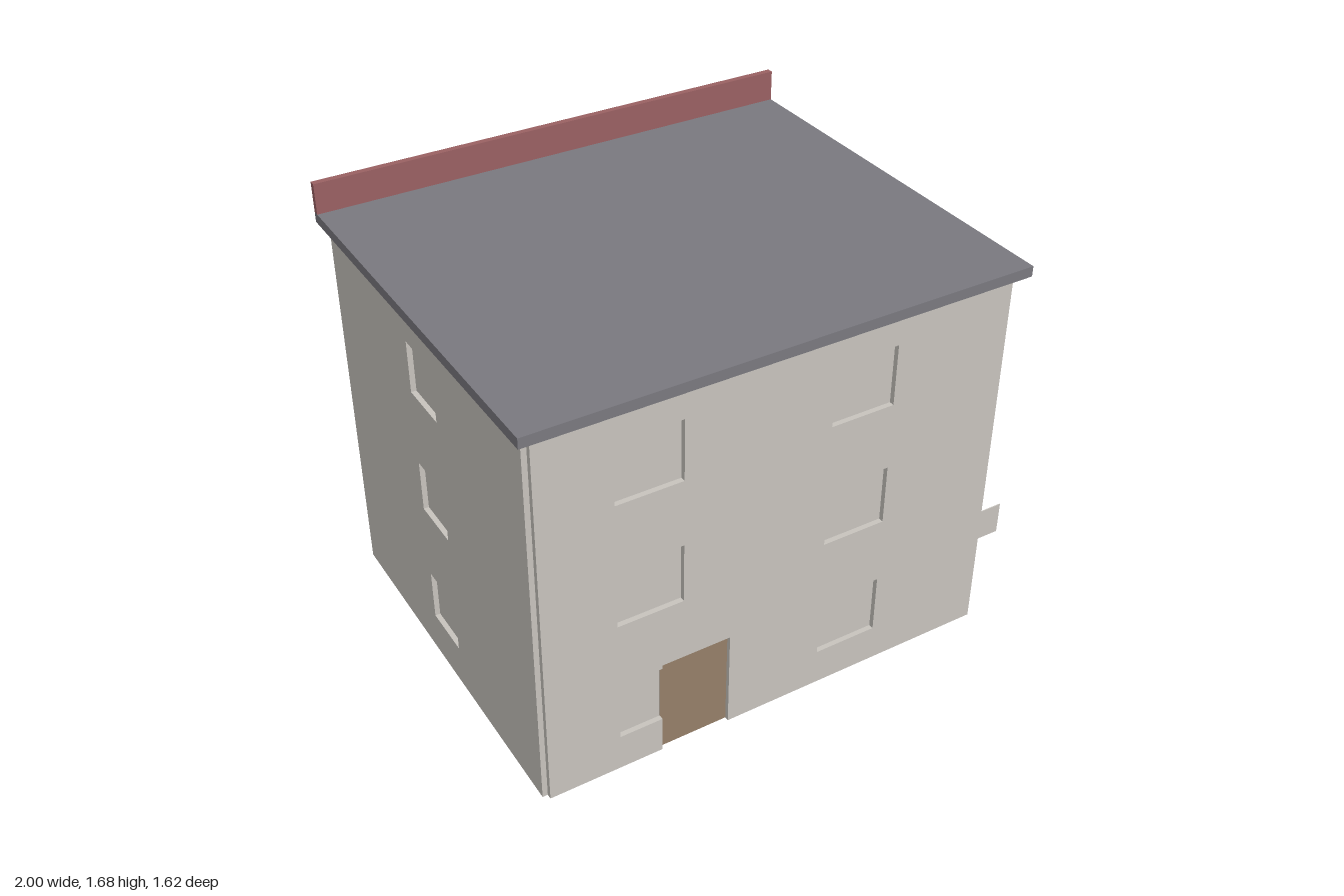
import * as THREE from 'three';

const material = (name, color) => {
  const m = new THREE.MeshStandardMaterial({ color });
  m.name = name;
  return m;
};

const WALL_H = 1.525, DEPTH = 0.02;
const X0 = -0.95, X1 = 0.89, Z = 0.76; // core of the building, inside the wall panels

const pathOf = (Type, pts) => new Type(pts.map(([x, y]) => new THREE.Vector2(x, y)));
const rect = (x0, x1, y0, y1) => [[x0, y0], [x1, y0], [x1, y1], [x0, y1]];

export function createModel() {
  const model = new THREE.Group();
  model.name = 'house';
  const plaster = material('plaster', 0xc8c4be);
  const slate = material('slate', 0x7a797f);
  const brick = material('brickRed', 0x9a6163);
  const wood = material('doorBrown', 0x957f69);

  const box = (name, mat, x0, x1, y0, y1, z0, z1) => {
    const mesh = new THREE.Mesh(new THREE.BoxGeometry(x1 - x0, y1 - y0, z1 - z0), mat);
    mesh.position.set((x0 + x1) / 2, (y0 + y1) / 2, (z0 + z1) / 2);
    mesh.name = name;
    model.add(mesh);
  };

  // Wall panel with openings; the core behind it closes them as shallow recesses
  const panel = (name, outline, windows, x, z, turn) => {
    const shape = pathOf(THREE.Shape, outline);
    for (const w of windows) shape.holes.push(pathOf(THREE.Path, rect(...w)));
    const mesh = new THREE.Mesh(
      new THREE.ExtrudeGeometry(shape, { depth: DEPTH, bevelEnabled: false }), plaster);
    mesh.position.set(x, 0, z);
    mesh.rotation.y = turn;
    mesh.name = name;
    model.add(mesh);
  };

  box('core', plaster, X0, X1, 0, WALL_H, -Z, Z);

  // Front: the doorway merges with the lower left window opening
  const frontOutline = [
    [X0, 0], [-0.5, 0], [-0.5, 0.15], [-0.67, 0.15], [-0.67, 0.39], [-0.5, 0.39],
    [-0.5, 0.405], [-0.225, 0.405], [-0.225, 0], [X1, 0], [X1, WALL_H], [X0, WALL_H],
  ];
  const floors = [0.15, 0.66, 1.165];
  const frontWindows = [];
  floors.forEach((y, i) => {
    frontWindows.push([0.16, 0.415, y, y + 0.24]);
    if (i > 0) frontWindows.push([-0.67, -0.415, y, y + 0.24]);
  });
  panel('frontWall', frontOutline, frontWindows, 0, Z, 0);

  // Back: one column of windows
  panel('backWall', rect(-X1, -X0, 0, WALL_H),
    floors.map((y) => [-0.475, -0.21, y - 0.005, y + 0.24]), 0, -Z, Math.PI);

  // Sides: one central column each
  const sideWindows = [0.17, 0.68, 1.185].map((y) => [-0.105, 0.105, y, y + 0.205]);
  panel('leftWall', rect(-Z, Z, 0, WALL_H), sideWindows, X1, 0, Math.PI / 2);
  panel('rightWall', rect(-Z, Z, 0, WALL_H), sideWindows, X0, 0, -Math.PI / 2);

  // Door set back in its opening
  box('door', wood, -0.5, -0.225, 0, 0.405, Z, Z + 0.003);

  // Small plate standing out from the front corner
  box('cornerPlate', plaster, 0.9, 1, 0.36, 0.49, Z - 0.004, Z);

  // Flat roof slab and rear parapet
  box('roof', slate, -1, 0.945, WALL_H, 1.565, -0.81, 0.81);
  box('parapet', brick, -1, 0.945, 1.565, 1.685, -0.81, -0.785);

  return model;
}
